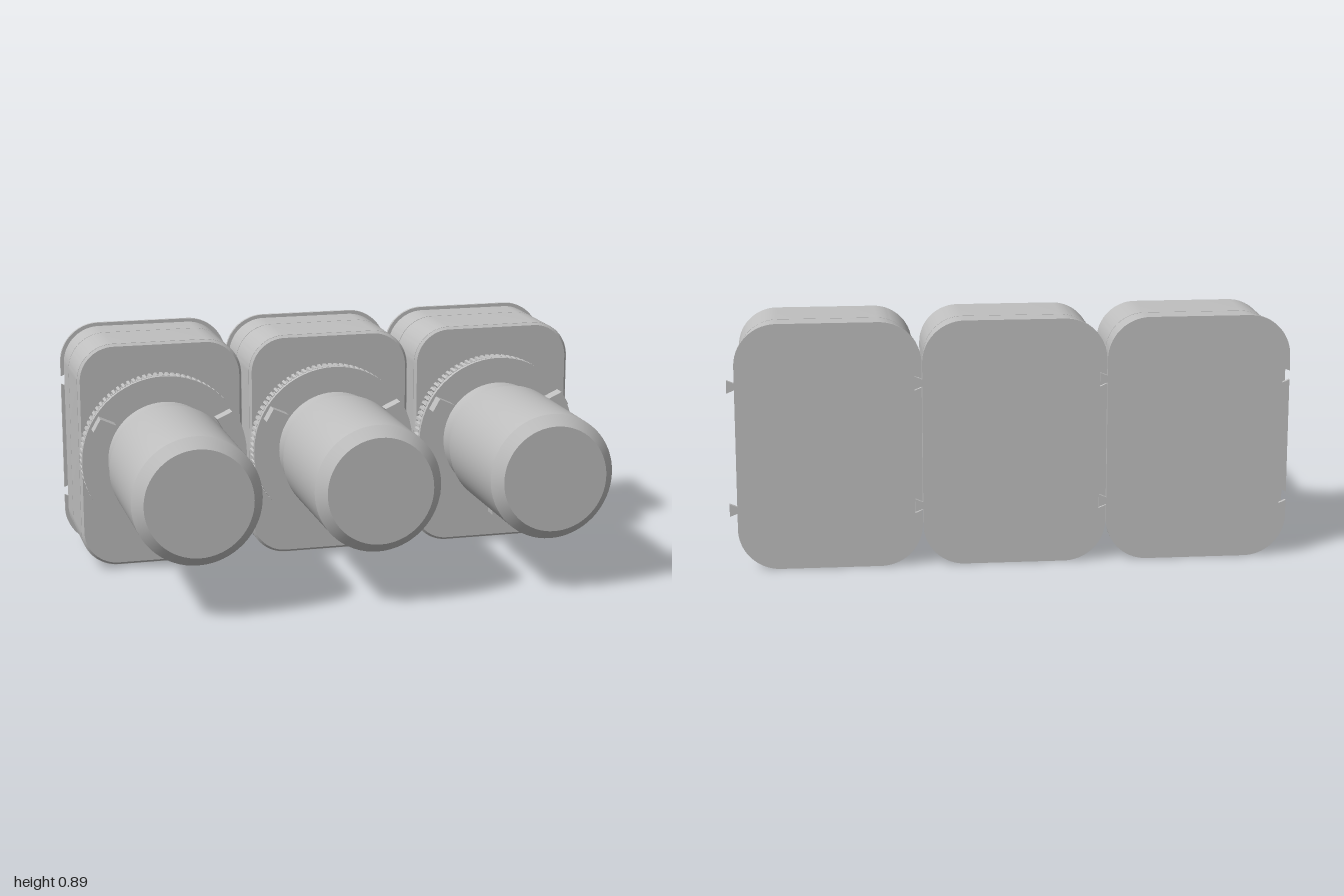
import * as THREE from 'three';
import { toCreasedNormals } from 'three/addons/utils/BufferGeometryUtils.js';

const CY = 0.447; // height of the dial axis
const grey = new THREE.MeshStandardMaterial({ color: 0xbfbfbf });
grey.name = 'grey';

function add(parent, name, geometry) {
  const mesh = new THREE.Mesh(toCreasedNormals(geometry, 0.5), grey);
  mesh.name = name;
  parent.add(mesh);
  return mesh;
}

// Rounded rectangle; extra points can be inserted on the right and left edges
function roundedShape(hw, hh, r, rightPts = [], leftPts = []) {
  const s = new THREE.Shape();
  s.moveTo(-hw + r, -hh);
  s.lineTo(hw - r, -hh);
  s.absarc(hw - r, -hh + r, r, -Math.PI / 2, 0);
  rightPts.forEach(([x, y]) => s.lineTo(x, y));
  s.lineTo(hw, hh - r);
  s.absarc(hw - r, hh - r, r, 0, Math.PI / 2);
  s.lineTo(-hw + r, hh);
  s.absarc(-hw + r, hh - r, r, Math.PI / 2, Math.PI);
  leftPts.forEach(([x, y]) => s.lineTo(x, y));
  s.lineTo(-hw, -hh + r);
  s.absarc(-hw + r, -hh + r, r, Math.PI, Math.PI * 1.5);
  return s;
}

function extrude(shape, z0, z1) {
  return new THREE.ExtrudeGeometry(shape, { depth: z1 - z0, bevelEnabled: false, curveSegments: 12 }).translate(0, 0, z0);
}

// Lathe around the z axis from [radius, z] pairs, back to front
function latheZ(points) {
  return new THREE.LatheGeometry(points.map(([r, z]) => new THREE.Vector2(r, z)), 64).rotateX(Math.PI / 2);
}

function createUnit() {
  const unit = new THREE.Group();

  // Back plate with dovetail tabs on one edge and matching slots on the other
  const hw = 0.328;
  const tabs = [], slots = [];
  for (const y of [-0.224, 0.224]) {
    tabs.push([hw, y - 0.012], [hw + 0.027, y - 0.023], [hw + 0.027, y + 0.023], [hw, y + 0.012]);
    slots.unshift([-hw, y - 0.016]);
    slots.unshift([-hw + 0.025, y - 0.027]);
    slots.unshift([-hw + 0.025, y + 0.027]);
    slots.unshift([-hw, y + 0.016]);
  }
  add(unit, 'backPlate', extrude(roundedShape(hw, 0.445, 0.15, tabs, slots), -0.565, -0.551));

  // Housing in two shells with a fine seam between them
  const outline = roundedShape(0.315, 0.432, 0.14);
  add(unit, 'rearShell', extrude(outline, -0.551, -0.417));
  add(unit, 'seam', extrude(roundedShape(0.31, 0.427, 0.135), -0.417, -0.413));
  add(unit, 'frontShell', extrude(outline, -0.413, -0.19));
  const lip = new THREE.ExtrudeGeometry(roundedShape(0.305, 0.422, 0.13), {
    depth: 0.001, bevelThickness: 0.01, bevelSize: 0.01, bevelSegments: 1, curveSegments: 12,
  }).translate(0, 0, -0.192);
  add(unit, 'frontEdge', lip);

  // Knurled ring
  const teeth = 90;
  const knurl = new THREE.Shape();
  for (let i = 0; i < teeth; i++) {
    [[0, 0.306], [0.2, 0.315], [0.65, 0.315], [0.85, 0.306]].forEach(([t, r], k) => {
      const a = ((i + t) / teeth) * Math.PI * 2;
      knurl[i + k === 0 ? 'moveTo' : 'lineTo'](r * Math.cos(a), r * Math.sin(a));
    });
  }
  add(unit, 'knurledRing', extrude(knurl, -0.182, -0.126));

  // Flange in front of the ring
  add(unit, 'flange', latheZ([[0.3, -0.13], [0.3, -0.122], [0.315, -0.122], [0.315, -0.105], [0, -0.105]]));

  // Barrel with a narrowed neck and a chamfered cap
  add(unit, 'barrel', latheZ([
    [0.217, -0.11], [0.217, -0.035], [0.235, 0.037], [0.235, 0.525], [0.197, 0.565], [0, 0.565],
  ]));

  // Three tapered lugs around the neck
  const lugShape = new THREE.Shape([
    [-0.034, -0.24], [-0.028, -0.304], [0.028, -0.304], [0.034, -0.24],
  ].map(([x, y]) => new THREE.Vector2(x, y)));
  for (let i = 0; i < 3; i++) {
    add(unit, 'lug', extrude(lugShape, -0.107, -0.052)).rotation.z = (i * Math.PI * 2) / 3;
  }

  // Rim of the cable opening underneath
  const rim = new THREE.Shape([[-0.07, -0.03], [0.07, -0.03], [0.045, 0.03], [-0.045, 0.03]].map(([x, y]) => new THREE.Vector2(x, y)));
  rim.holes.push(new THREE.Path([[-0.058, -0.022], [-0.037, 0.022], [0.037, 0.022], [0.058, -0.022]].map(([x, y]) => new THREE.Vector2(x, y))));
  add(unit, 'cableOpening', extrude(rim, 0, 0.004).rotateX(Math.PI / 2).translate(0, -0.431, -0.4));

  // Grille of small studs underneath
  for (let row = 0; row < 5; row++) {
    for (let col = 0; col < 11; col++) {
      add(unit, 'grilleStud', new THREE.CylinderGeometry(0.005, 0.005, 0.004, 6)
        .translate((col - 5) * 0.021, -0.433, -0.27 + (row - 2) * 0.021));
    }
  }
  return unit;
}

export function createModel() {
  const model = new THREE.Group();
  model.name = 'tripleUnit';
  [-0.672, -0.0135, 0.645].forEach((x, i) => {
    const unit = createUnit();
    unit.name = ['rightUnit', 'middleUnit', 'leftUnit'][i];
    unit.position.set(x, CY, 0);
    model.add(unit);
  });
  return model;
}
